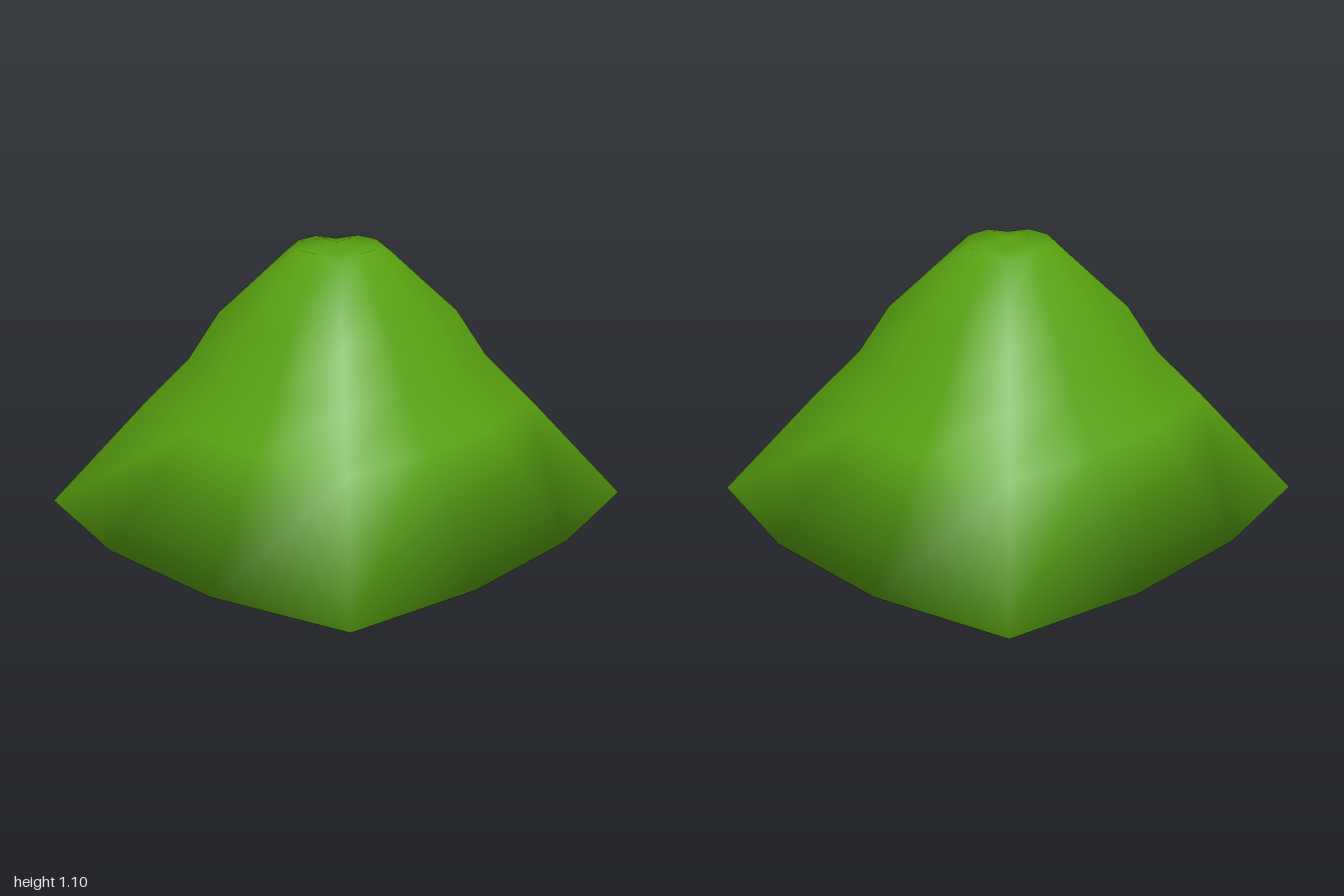
import * as THREE from 'three';

const leafGreen = new THREE.MeshStandardMaterial({ color: 0x58a210 });
leafGreen.name = 'leafGreen';

// Rounded-square outline of 12 points, counterclockwise from the front -x corner
const outline = [
  [-0.85, 0.85], [-0.29, 0.97], [0.29, 0.97],
  [0.85, 0.85], [1, 0.29], [1, -0.29],
  [0.85, -0.85], [0.29, -0.97], [-0.29, -0.97],
  [-0.85, -0.85], [-1, -0.29], [-1, 0.29],
];

// Half-width and height of each ring, from the rim to the flat tip
const profile = [[1, 0], [0.67, 0.43], [0.51, 0.625], [0.405, 0.82], [0.3, 0.935], [0.175, 1.1]];

function foliageGeometry() {
  const positions = [], index = [];
  const n = outline.length, last = profile.length - 1;
  const quad = (a, b, c, d) => index.push(a, b, c, a, c, d);

  // Sloping sides
  profile.forEach(([r, y], level) => {
    outline.forEach(([x, z], k) => {
      const drop = level === last && k % 3 === 0 ? 0.025 : 0; // tip corners sit a little lower
      positions.push(x * r, y - drop, z * r);
    });
  });
  for (let level = 0; level < last; level++) {
    for (let k = 0; k < n; k++) {
      const a = level * n + k, b = level * n + (k + 1) % n;
      quad(a, b, b + n, a + n);
    }
  }

  // Caps: a 3 x 3 grid sharing the ring's points, with four inner points
  const cap = (level, innerY, up) => {
    const r = profile[level][0] * 0.3, o = level * n, i = positions.length / 3;
    for (const [x, z] of [[-r, r], [r, r], [r, -r], [-r, -r]]) positions.push(x, innerY, z);
    const rows = [
      [o, o + 1, o + 2, o + 3],
      [o + 11, i, i + 1, o + 4],
      [o + 10, i + 3, i + 2, o + 5],
      [o + 9, o + 8, o + 7, o + 6],
    ];
    for (let row = 0; row < 3; row++) {
      for (let col = 0; col < 3; col++) {
        const a = rows[row][col], b = rows[row][col + 1];
        const c = rows[row + 1][col + 1], d = rows[row + 1][col];
        if (up) quad(a, b, c, d);
        else quad(a, d, c, b);
      }
    }
  };
  cap(0, 0, false);
  cap(last, 1.09, true);

  const geometry = new THREE.BufferGeometry();
  geometry.setAttribute('position', new THREE.Float32BufferAttribute(positions, 3));
  geometry.setIndex(index);
  geometry.computeVertexNormals(); // shared points keep the rim softly shaded
  return geometry;
}

export function createModel() {
  const group = new THREE.Group();
  group.name = 'foliageCone';
  const foliage = new THREE.Mesh(foliageGeometry(), leafGreen);
  foliage.name = 'foliage';
  group.add(foliage);
  return group;
}
